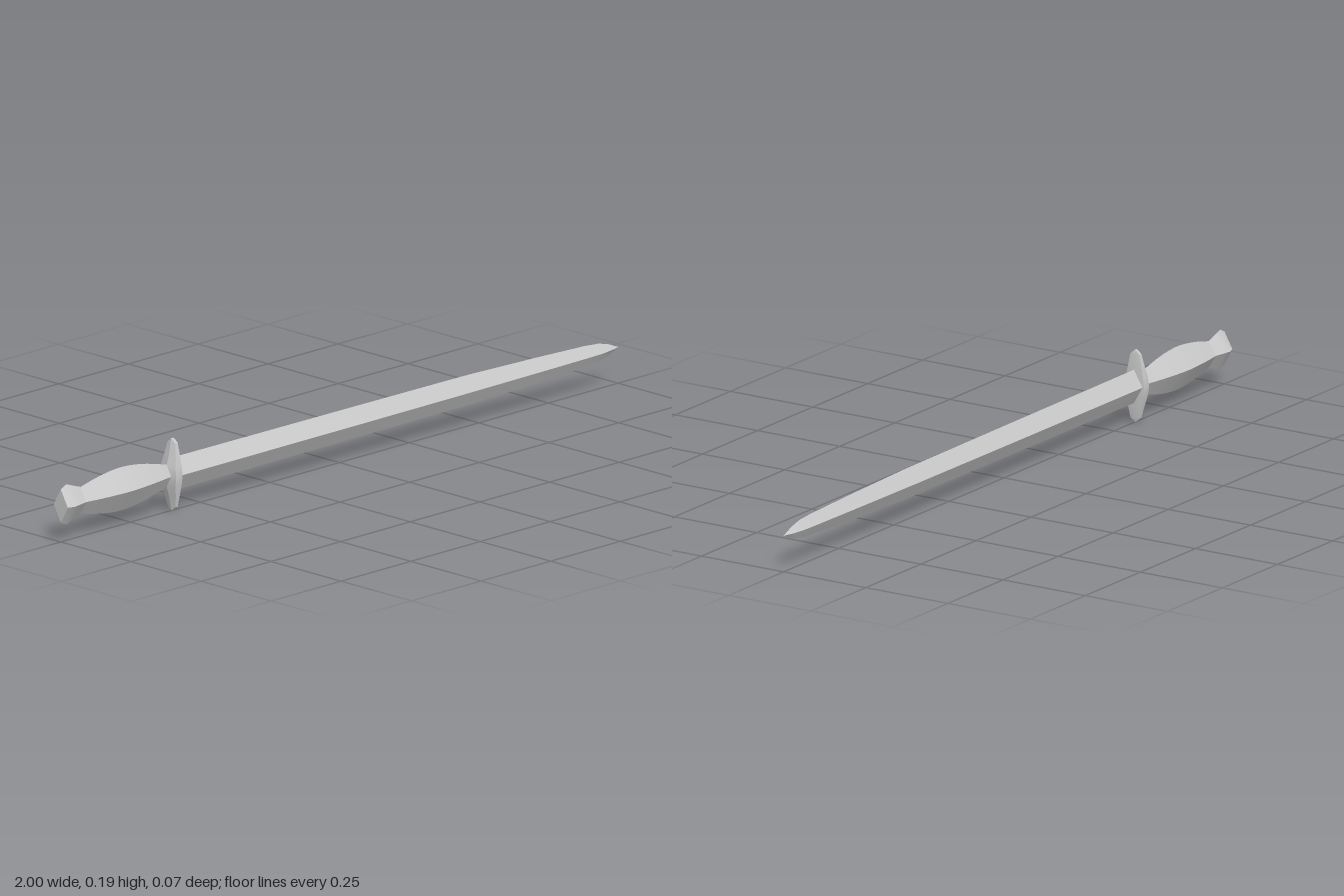
import * as THREE from 'three';
import { toCreasedNormals } from 'three/addons/utils/BufferGeometryUtils.js';

const CENTER_Y = 0.095;
const material = new THREE.MeshStandardMaterial({ color: 0xcccccc });

// Skin a list of equal-sized rings (counter-clockwise about the loft axis) and cap both ends
function loft(name, rings, crease = 0.6) {
  const n = rings[0].length;
  const index = [];
  for (let i = 0; i < rings.length - 1; i++) {
    for (let j = 0; j < n; j++) {
      const k = (j + 1) % n;
      const a = i * n + j, b = i * n + k, c = b + n, d = a + n;
      index.push(a, b, c, a, c, d);
    }
  }
  const last = (rings.length - 1) * n;
  for (let j = 1; j < n - 1; j++) {
    index.push(0, j + 1, j, last, last + j, last + j + 1);
  }
  const geometry = new THREE.BufferGeometry();
  geometry.setAttribute('position', new THREE.Float32BufferAttribute(rings.flat(2), 3));
  geometry.setIndex(index);
  const mesh = new THREE.Mesh(toCreasedNormals(geometry, crease), material);
  mesh.name = name;
  return mesh;
}

// Diamond cross-section at x with half height h and half thickness w
const diamond = ([x, h, w]) => [
  [x, CENTER_Y + h, 0], [x, CENTER_Y, w], [x, CENTER_Y - h, 0], [x, CENTER_Y, -w],
];

// Smooth a short list of [x, h, w] stations
function smooth(stations, count) {
  const curve = new THREE.CatmullRomCurve3(stations.map((s) => new THREE.Vector3(...s)));
  return curve.getPoints(count).map((p) => p.toArray());
}

export function createModel() {
  const group = new THREE.Group();
  group.name = 'sword';

  // Long tapering blade with a central ridge
  group.add(loft('blade', [
    [-0.6, 0.044, 0.025], [0, 0.042, 0.024], [0.45, 0.04, 0.022], [0.7, 0.034, 0.019],
    [0.88, 0.028, 0.016], [0.93, 0.024, 0.014], [0.965, 0.015, 0.009], [1, 0.0005, 0.0005],
  ].map(diamond)));

  // Swelling grip
  group.add(loft('grip', smooth([
    [-0.93, 0.035, 0.022], [-0.87, 0.048, 0.03], [-0.79, 0.057, 0.035],
    [-0.71, 0.05, 0.029], [-0.61, 0.027, 0.014],
  ], 20).map(diamond)));

  // Flared pommel with a bevelled end
  group.add(loft('pommel', [
    [-1, 0.044, 0.025], [-0.98, 0.053, 0.031], [-0.955, 0.044, 0.027], [-0.925, 0.034, 0.021],
  ].map(diamond)));

  // Guard: half stations [y offset, back x, front x, half depth], mirrored downwards
  const half = [
    [0, -0.624, -0.588, 0.029], [0.025, -0.621, -0.589, 0.026],
    [0.055, -0.612, -0.591, 0.02], [0.084, -0.606, -0.593, 0.014], [0.095, -0.604, -0.595, 0.002],
  ];
  const stations = [...half.slice(1).reverse().map(([y, ...r]) => [-y, ...r]), ...half];
  group.add(loft('guard', stations.map(([dy, x0, x1, z]) => {
    const y = CENTER_Y + dy, bevel = (x1 - x0) * 0.22;
    return [
      [x1, y, 0], [x1 - bevel * 0.5, y, -z], [x0 + bevel, y, -z],
      [x0, y, 0], [x0 + bevel, y, z], [x1 - bevel * 0.5, y, z],
    ];
  }), 0.3));

  return group;
}
